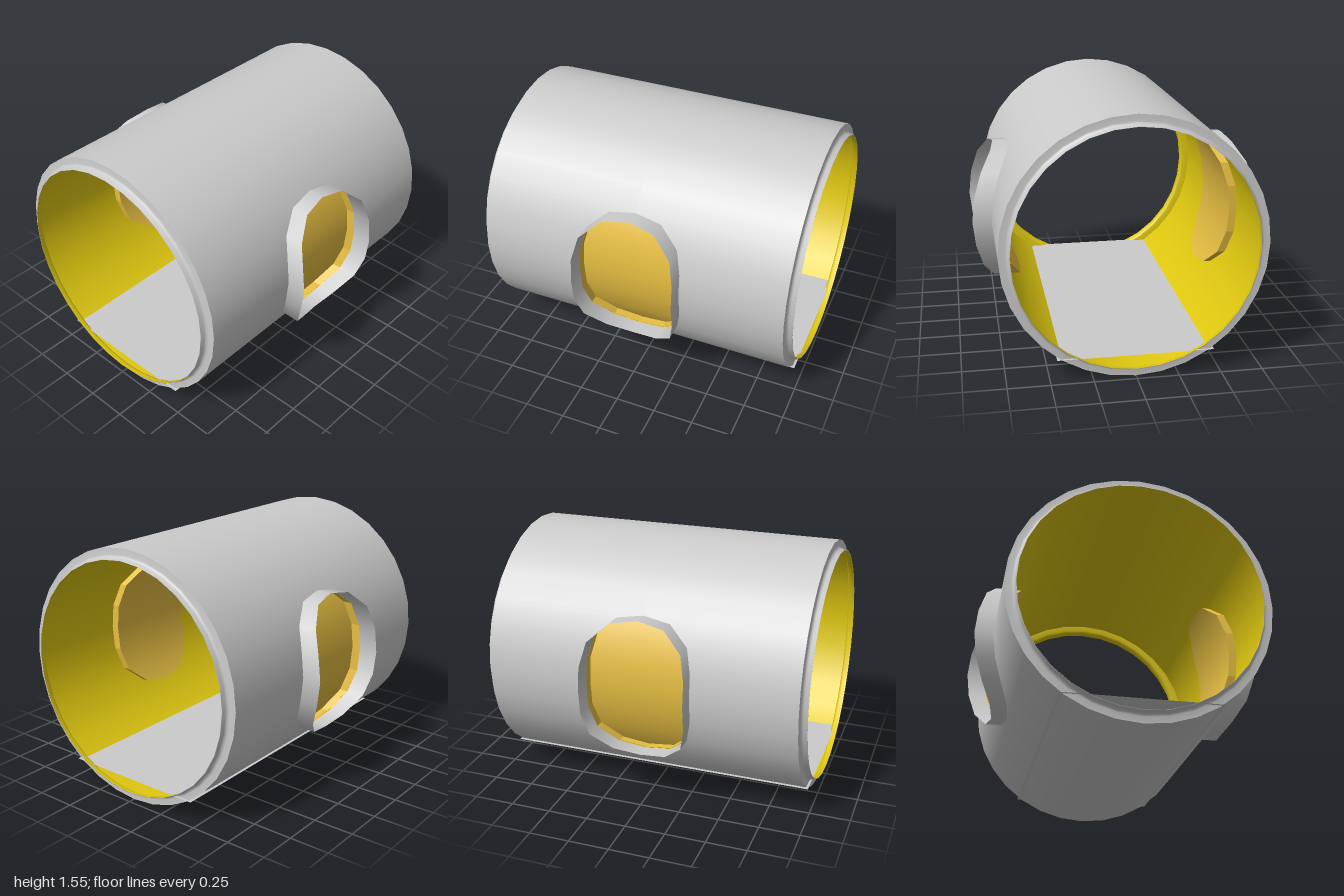
import * as THREE from 'three';

const R_OUT = 0.775, R_LINING = 0.77, CY = 0.777, PANE_RECESS = 0.055;
const DEG = Math.PI / 180;

// Window outline on one quadrant: [angle above the middle, half width, frame depth]
const OUTLINE = [
  [0, 0.32, 0.117], [11.25, 0.32, 0.115], [22.5, 0.287, 0.114],
  [31.5, 0.165, 0.105], [33.75, 0, 0.096],
];

const material = (color) => new THREE.MeshStandardMaterial({ color, side: THREE.DoubleSide });
const grey = material(0xcccccc);
const yellow = material(0xe0c810);
const amber = material(0xe6be42);

// Angles round the tube (degrees from +z): 32 facets plus the extra window rows
const ROWS = Array.from({ length: 33 }, (_, i) => i * 11.25 - 90);
ROWS.push(31.5, -31.5, 148.5, 211.5);
ROWS.sort((a, b) => a - b);

const elevation = (t) => Math.asin(Math.min(1, Math.abs(Math.sin(t * DEG)))) / DEG;

function halfWidth(t) {
  const row = OUTLINE.find((o) => Math.abs(o[0] - elevation(t)) < 0.01);
  return row ? row[1] : 0;
}

// Point on the faceted tube; the extra rows lie on the chord of their facet
function onTube(x, t, r) {
  const extra = Math.abs(elevation(t) - 31.5) < 0.01;
  const k = extra ? r * Math.cos(5.625 * DEG) / Math.cos(3.375 * DEG) : r;
  return [x, CY + k * Math.sin(t * DEG), k * Math.cos(t * DEG)];
}

// Mesh from quads of corner points with matching normals
function quadMesh(name, mat, quads, normals) {
  const order = [0, 1, 2, 0, 2, 3];
  const flat = (list) => list.flatMap((q) => order.flatMap((i) => q[i]));
  const g = new THREE.BufferGeometry();
  g.setAttribute('position', new THREE.Float32BufferAttribute(flat(quads), 3));
  if (normals) g.setAttribute('normal', new THREE.Float32BufferAttribute(flat(normals), 3));
  else g.computeVertexNormals();
  const mesh = new THREE.Mesh(g, mat);
  mesh.name = name;
  return mesh;
}

// Curved sheet made of strips; spans(t) lists the [x0, x1] ranges on a row
function curvedSheet(name, mat, r, rows, spans) {
  const quads = [], normals = [];
  for (let i = 0; i < rows.length - 1; i++) {
    const a = rows[i], b = rows[i + 1];
    const sa = spans(a), sb = spans(b);
    const na = [0, Math.sin(a * DEG), Math.cos(a * DEG)];
    const nb = [0, Math.sin(b * DEG), Math.cos(b * DEG)];
    sa.forEach(([x0, x1], k) => {
      quads.push([onTube(x0, a, r), onTube(x1, a, r), onTube(sb[k][1], b, r), onTube(sb[k][0], b, r)]);
      normals.push([na, na, nb, nb]);
    });
  }
  return quadMesh(name, mat, quads, normals);
}

// Tube wall with the two window openings left out
function tubeWall(name, mat, r, len) {
  return curvedSheet(name, mat, r, ROWS, (t) => [[-len, -halfWidth(t)], [halfWidth(t), len]]);
}

// Closed loop of [x, angle, depth] round a window on the front side
function windowLoop() {
  const right = [...OUTLINE.slice(1).reverse().map(([t, w, d]) => [w, -t, d]),
    ...OUTLINE.map(([t, w, d]) => [w, t, d])];
  const left = right.slice(1, -1).reverse().map(([x, t, d]) => [-x, t, d]);
  return [...right, ...left];
}

// Window: frame standing out of the shell, reveal running in to a recessed pane
function createWindow() {
  const group = new THREE.Group();
  const loop = windowLoop();
  const frame = [], reveal = [];
  const shift = ([x, y, z], d) => [x, y, z + d];
  // slanted rows of the frame are smoothed with outline normals
  const centre = ([x, y]) => new THREE.Vector3(x / 0.32, (y - CY) / 0.43, 0).normalize().toArray();
  const normals = [];
  loop.forEach((p, i) => {
    const q = loop[(i + 1) % loop.length];
    const a = onTube(p[0], p[1], R_OUT), b = onTube(q[0], q[1], R_OUT);
    frame.push([a, shift(a, p[2]), shift(b, q[2]), b].reverse());
    reveal.push([shift(a, -PANE_RECESS), shift(b, -PANE_RECESS), b, a]);
    normals.push([centre(b), centre(b), centre(a), centre(a)]);
  });
  const rows = OUTLINE.map((o) => o[0]);
  const paneRows = [...rows.slice(1).reverse().map((t) => -t), ...rows];
  const pane = curvedSheet('windowPane', amber, R_OUT, paneRows, (t) => [[-halfWidth(t), halfWidth(t)]]);
  pane.position.z = -PANE_RECESS;
  group.add(quadMesh('windowFrame', grey, frame, normals), quadMesh('windowReveal', amber, reveal), pane);
  return group;
}

// Turned ring at one end of the tube from [radius, x] points
function endRing(name, mat, points, side) {
  const profile = points.map(([r, x]) => new THREE.Vector2(r, x));
  const ring = new THREE.Mesh(new THREE.LatheGeometry(profile, 32), mat);
  ring.name = name;
  ring.rotation.z = -side * Math.PI / 2;
  ring.position.y = CY;
  return ring;
}

export function createModel() {
  const model = new THREE.Group();
  model.name = 'tubeModule';

  // Shell and lining
  model.add(tubeWall('outerShell', grey, R_OUT, 0.96));
  model.add(tubeWall('innerLining', yellow, R_LINING, 0.956));

  // Stepped rim at each end with its own lining
  const rim = [[0.775, 0.96], [0.737, 0.961], [0.726, 0.966], [0.718, 0.976], [0.715, 1], [0.712, 1]];
  const rimLining = [[R_LINING, 0.956], [0.734, 0.957], [0.722, 0.963], [0.714, 0.975], [0.712, 1]];
  for (const side of [1, -1]) {
    const prefix = side > 0 ? 'left' : 'right';
    model.add(endRing(prefix + 'Rim', grey, rim, side));
    model.add(endRing(prefix + 'RimLining', yellow, rimLining, side));
  }

  // Windows on the front and back
  for (const side of ['front', 'back']) {
    const win = createWindow();
    win.name = side + 'Window';
    if (side === 'back') win.rotation.y = Math.PI;
    model.add(win);
  }

  // Flat floor sheet, its long edges reaching just through the shell
  const floor = new THREE.Mesh(new THREE.PlaneGeometry(1.95, 0.92), grey);
  floor.name = 'floor';
  floor.rotation.x = -Math.PI / 2;
  floor.position.y = 0.14;
  model.add(floor);

  return model;
}
